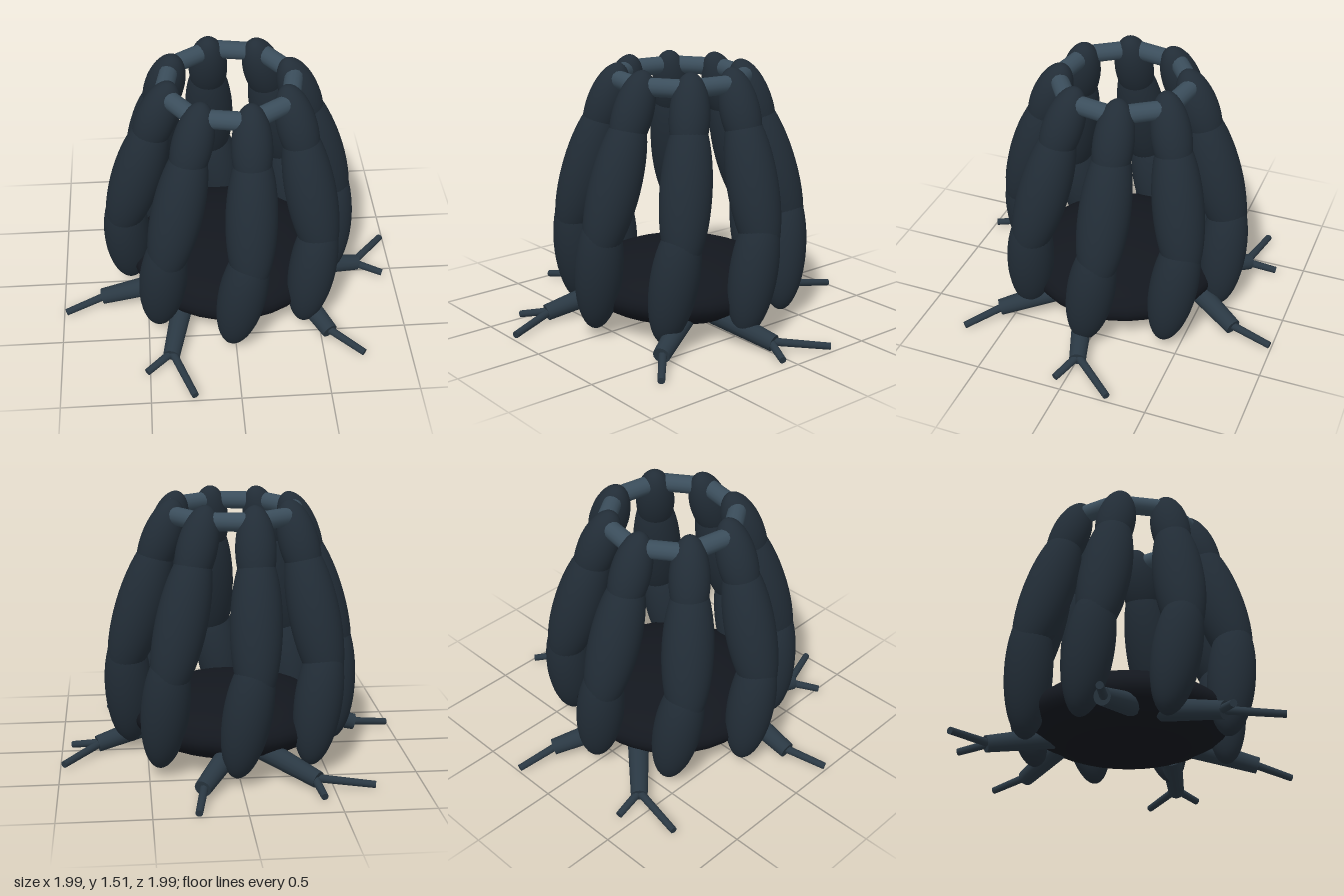
import * as THREE from 'three';

const V = (x, y, z) => new THREE.Vector3(x, y, z);
const UP = V(0, 1, 0);
const deg = THREE.MathUtils.degToRad;

// point from radius, height and angle measured from the front towards +x
const polar = (r, y, a) => V(r * Math.sin(deg(a)), y, r * Math.cos(deg(a)));

const ribMat = new THREE.MeshStandardMaterial({ color: 0x222d37 });
const baseMat = new THREE.MeshStandardMaterial({ color: 0x13171e });
const ringMat = new THREE.MeshStandardMaterial({ color: 0x3b4e5c });
const rootMat = new THREE.MeshStandardMaterial({ color: 0x2a3843 });

// place a y-aligned mesh between two points
function along(geo, mat, a, b, name) {
  const m = new THREE.Mesh(geo, mat);
  m.name = name;
  m.position.copy(a).add(b).multiplyScalar(0.5);
  m.quaternion.setFromUnitVectors(UP, b.clone().sub(a).normalize());
  return m;
}

function rod(a, b, r0, r1, mat, name) {
  return along(new THREE.CylinderGeometry(r1, r0, a.distanceTo(b), 14), mat, a, b, name);
}

function ellipsoid(a, b, r, mat, name) {
  const geo = new THREE.SphereGeometry(1, 28, 24);
  geo.scale(r, a.distanceTo(b) / 2, r);
  return along(geo, mat, a, b, name);
}

// three overlapping swollen segments, leaning inward with a slight twist
function makeRib() {
  const rib = new THREE.Group();
  rib.name = 'rib';
  rib.add(
    ellipsoid(V(-0.03, 0.055, 0.595), V(0.095, 0.8, 0.615), 0.135, ribMat, 'lowerRibSegment'),
    ellipsoid(V(0.07, 0.455, 0.66), V(0.1, 1.335, 0.395), 0.143, ribMat, 'middleRibSegment'),
    ellipsoid(V(0.092, 1.05, 0.495), V(0.095, 1.515, 0.32), 0.112, ribMat, 'upperRibSegment'),
  );
  return rib;
}

// a thick root limb that ends in thin twigs
function makeRoot(start, fork, tips) {
  const root = new THREE.Group();
  root.name = 'root';
  root.add(rod(start, fork, 0.064, 0.048, rootMat, 'rootLimb'));
  const inner = fork.clone().lerp(start, 0.06);
  for (const tip of tips) root.add(rod(inner, tip, 0.023, 0.02, rootMat, 'rootTwig'));
  return root;
}

export function createModel() {
  const model = new THREE.Group();
  model.name = 'ribbedCage';

  // flattened base
  const base = new THREE.Mesh(new THREE.SphereGeometry(1, 32, 20), baseMat);
  base.name = 'base';
  base.scale.set(0.575, 0.2, 0.575);
  base.position.y = 0.23;
  model.add(base);

  // ribs and the ring of links joining their tops
  for (let i = 0; i < 8; i++) {
    const rib = makeRib();
    rib.rotation.y = i * Math.PI / 4;
    model.add(rib);
    const a = 12 + i * 45;
    model.add(rod(polar(0.375, 1.43, a), polar(0.375, 1.43, a + 45), 0.052, 0.052, ringMat, 'topLink'));
  }

  // forked and single roots alternate around the base
  for (let i = 0; i < 3; i++) {
    const forked = makeRoot(V(0.42, 0.15, 0.09), V(0.79, 0.058, -0.02),
      [V(0.98, 0.035, -0.27), V(0.94, 0.03, 0.055)]);
    const single = makeRoot(V(0.04, 0.16, -0.44), V(0.225, 0.068, -0.76),
      [V(0.26, 0.03, -0.99)]);
    forked.rotation.y = single.rotation.y = i * 2 * Math.PI / 3;
    model.add(forked, single);
  }
  return model;
}
